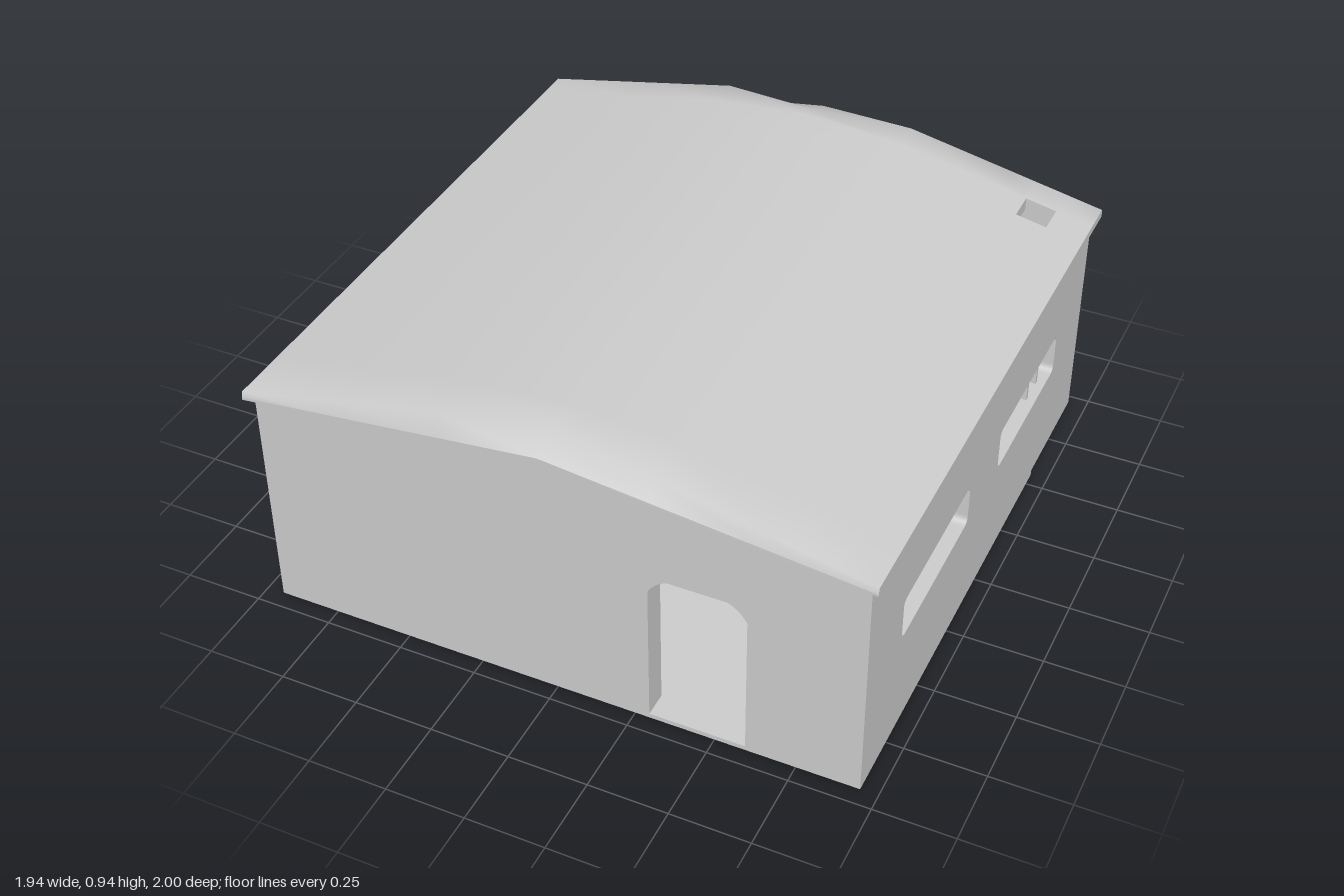
import * as THREE from 'three';

const W = 0.945, T = 0.08, IN = W - T;      // outer half width, wall thickness, inner half width
const EAVE = 0.97, NOTCH = 0.55, BASE = 0.018;

// underside height of the roof, which is also the gable line
const gable = x => 0.895 - 0.137 * Math.abs(x) / EAVE;

// linear interpolation through a few [x, value] points
function lerpPoints(points, x) {
  const a = Math.abs(x);
  for (let i = 1; i < points.length; i++) {
    const [x0, y0] = points[i - 1], [x1, y1] = points[i];
    if (a <= x1) return y0 + (y1 - y0) * (a - x0) / (x1 - x0);
  }
  return points[points.length - 1][1];
}
const roofTop = x => lerpPoints([[0, 0.945], [0.32, 0.92], [EAVE, 0.785]], x);
const roofRun = x => lerpPoints([[0, 0.9], [0.32, 0.962], [EAVE, 0.966]], x);
const lipZ = x => 1 - 0.03 * Math.abs(x) / EAVE;

const solid = () => new THREE.MeshStandardMaterial({ color: 0xcccccc });
const open = () => new THREE.MeshStandardMaterial({ color: 0xcccccc, side: THREE.DoubleSide });

function add(group, name, geometry, material = solid()) {
  const mesh = new THREE.Mesh(geometry, material);
  mesh.name = name;
  group.add(mesh);
  return mesh;
}

// grid surface of nu x nv points, with optional cells left out
function grid(nu, nv, point, skip = () => false) {
  const pos = [], index = [];
  for (let i = 0; i < nu; i++) for (let j = 0; j < nv; j++) pos.push(...point(i, j));
  for (let i = 0; i < nu - 1; i++) for (let j = 0; j < nv - 1; j++) {
    if (skip(i, j)) continue;
    const a = i * nv + j, d = a + nv;
    index.push(a, a + 1, d + 1, a, d + 1, d);
  }
  const g = new THREE.BufferGeometry();
  g.setAttribute('position', new THREE.Float32BufferAttribute(pos, 3));
  g.setIndex(index);
  g.computeVertexNormals();
  return g;
}

const polygon = pts => new THREE.Shape(pts.map(p => new THREE.Vector2(p[0], p[1])));
const extrude = (shape, depth) =>
  new THREE.ExtrudeGeometry(shape, { depth, bevelEnabled: false, curveSegments: 10 });

// rounded window opening
function windowHole(x0, x1, y0 = 0.34, y1 = 0.48, r = 0.025) {
  const h = new THREE.Path();
  h.moveTo(x0 + r, y0);
  h.lineTo(x1 - r, y0);
  h.quadraticCurveTo(x1, y0, x1, y0 + r);
  h.lineTo(x1, y1 - r);
  h.quadraticCurveTo(x1, y1, x1 - r, y1);
  h.lineTo(x0 + r, y1);
  h.quadraticCurveTo(x0, y1, x0, y1 - r);
  h.lineTo(x0, y0 + r);
  h.quadraticCurveTo(x0, y0, x0 + r, y0);
  return h;
}

// doorway with curved upper corners
function doorHole() {
  const h = new THREE.Path();
  h.moveTo(0.295, 0.015);
  h.lineTo(0.595, 0.015);
  h.lineTo(0.595, 0.49);
  h.quadraticCurveTo(0.575, 0.53, 0.535, 0.545);
  h.lineTo(0.355, 0.545);
  h.quadraticCurveTo(0.315, 0.53, 0.295, 0.49);
  h.lineTo(0.295, 0.015);
  return h;
}

function buildWalls(group) {
  const top = [[W, gable(W)], [0, gable(0)], [-W, gable(W)]];

  const front = polygon([[-W, 0], [W, 0], ...top]);
  front.holes.push(doorHole());
  add(group, 'frontWall', extrude(front, T)).position.z = IN;

  // back wall, raised over the corner recess
  const back = polygon([[-W, 0], [NOTCH, 0], [NOTCH, BASE], [W, BASE], ...top]);
  back.holes.push(windowHole(0.135, 0.675), windowHole(-0.675, -0.135));
  add(group, 'backWall', extrude(back, T)).position.z = -W;

  const h = gable(W);
  const left = polygon([[-IN, 0], [NOTCH, 0], [NOTCH, BASE], [IN, BASE], [IN, h], [-IN, h]]);
  left.holes.push(windowHole(0.135, 0.675), windowHole(-0.675, -0.135));
  add(group, 'leftWall', extrude(left, T).rotateY(Math.PI / 2)).position.x = IN;

  const right = polygon([[-IN, 0], [IN, 0], [IN, h], [-IN, h]]);
  add(group, 'rightWall', extrude(right, T).rotateY(Math.PI / 2)).position.x = -W;

  // slim mullions in the two windows beside the corner
  for (const u of [0.5, 0.592]) {
    const bar = new THREE.BoxGeometry(0.015, 0.14, 0.015);
    add(group, 'backMullion', bar).position.set(u, 0.41, -0.91);
    add(group, 'leftMullion', bar).position.set(0.91, 0.41, -u);
  }
}

function buildFloor(group) {
  // floor slab with a quarter-round cut in one corner
  const R = IN - NOTCH;
  const floor = new THREE.Shape();
  floor.moveTo(-IN, -IN);
  floor.lineTo(IN, -IN);
  floor.lineTo(IN, NOTCH);
  floor.absarc(IN, IN, R, -Math.PI / 2, -Math.PI, true);
  floor.lineTo(-IN, IN);
  floor.closePath();
  add(group, 'floor', extrude(floor, 0.015).rotateX(-Math.PI / 2));

  // raised quarter-round tray and its rim
  const tray = new THREE.Shape();
  tray.moveTo(IN, IN);
  tray.absarc(IN, IN, R, Math.PI, Math.PI * 1.5, false);
  tray.closePath();
  add(group, 'cornerTray', extrude(tray, 0.012).rotateX(-Math.PI / 2)).position.y = BASE;

  const rim = new THREE.Shape();
  rim.absarc(IN, IN, R, Math.PI, Math.PI * 1.5, false);
  rim.absarc(IN, IN, R - 0.035, Math.PI * 1.5, Math.PI, true);
  rim.closePath();
  add(group, 'trayRim', extrude(rim, 0.035).rotateX(-Math.PI / 2)).position.y = 0.01;

  // low screen beside the tray
  add(group, 'screen', new THREE.BoxGeometry(0.015, 0.435, 0.23)).position.set(0.72, 0.2325, -0.555);
}

function buildRoof(group) {
  const xs = [-EAVE, -0.65, -0.32, 0, 0.32, 0.65, 0.75, 0.85, EAVE];
  const inner = [-0.86, -0.76, -0.3, 0.3, 0.8];
  const last = inner.length + 3;
  const isVent = (i, j) => i === 6 && j === 2;

  // curved upper skin, rolling down to the gable edge at both ends
  const lipTop = x => gable(x) + 0.008;
  const skin = (i, j) => {
    const x = xs[i];
    if (j === 0 || j === last) return [x, lipTop(x), (j ? 1 : -1) * lipZ(x)];
    if (j === 1 || j === last - 1) return [x, roofTop(x), (j > 1 ? 1 : -1) * roofRun(x)];
    return [x, roofTop(x), inner[j - 2]];
  };
  add(group, 'roofSkin', grid(xs.length, last + 1, skin, isVent), open());

  // flat underside following the gable
  const under = (i, j) => [xs[i], gable(xs[i]), skin(i, j)[2]];
  const soffit = grid(xs.length, last + 1, under, isVent);
  soffit.setIndex(Array.from(soffit.index.array).reverse());
  soffit.computeVertexNormals();
  add(group, 'roofSoffit', soffit, open());

  for (const s of [1, -1]) {
    // thin lip along the gable and fascia along the eave
    add(group, 'gableLip', grid(xs.length, 2, (i, j) => {
      const x = s * xs[i];
      return [x, j ? gable(x) : lipTop(x), s * lipZ(x)];
    }), open());
    add(group, 'eaveFascia', grid(last + 1, 2, (i, j) => {
      const p = skin(s > 0 ? 8 : 0, s > 0 ? i : last - i);
      return j ? p : [p[0], gable(p[0]), p[2]];
    }), open());
  }

  // reveal of the square roof vent
  const corners = [[0.75, -0.86], [0.85, -0.86], [0.85, -0.76], [0.75, -0.76], [0.75, -0.86]];
  const reveal = grid(5, 2, (i, j) => {
    const [x, z] = corners[i];
    return [x, j ? gable(x) : roofTop(x), z];
  }).toNonIndexed();
  reveal.computeVertexNormals();
  add(group, 'ventReveal', reveal, open());
}

export function createModel() {
  const model = new THREE.Group();
  model.name = 'house';
  for (const [name, build] of [['walls', buildWalls], ['base', buildFloor], ['roof', buildRoof]]) {
    const part = new THREE.Group();
    part.name = name;
    build(part);
    model.add(part);
  }
  return model;
}
